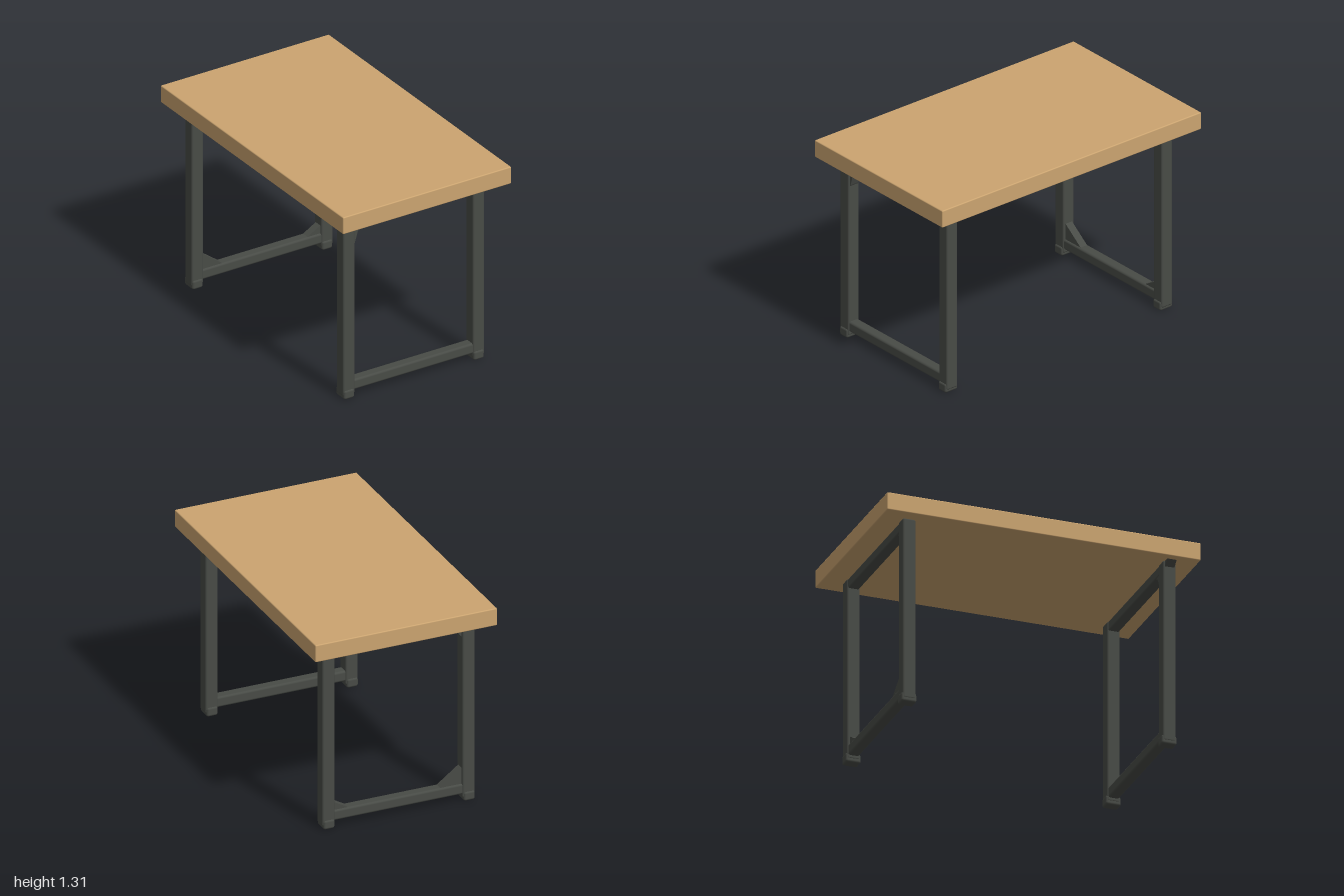
import * as THREE from 'three';
import { RoundedBoxGeometry } from 'three/addons/geometries/RoundedBoxGeometry.js';

const wood = new THREE.MeshStandardMaterial({ color: 0xcba470 });
wood.name = 'lightWood';
const metal = new THREE.MeshStandardMaterial({ color: 0x484b46 });
metal.name = 'darkMetal';

// Softly rounded box given by its lower and upper corners
function slab(name, material, lo, hi, radius) {
  const size = hi.map((v, i) => v - lo[i]);
  const mesh = new THREE.Mesh(new RoundedBoxGeometry(...size, 2, radius), material);
  mesh.position.set(...hi.map((v, i) => (v + lo[i]) / 2));
  mesh.name = name;
  return mesh;
}

// Brace filling a corner of a frame, from its outline in x and y
function brace(name, points, z, depth) {
  const shape = new THREE.Shape(points.map(([x, y]) => new THREE.Vector2(x, y)));
  const geometry = new THREE.ExtrudeGeometry(shape, { depth, bevelEnabled: false });
  geometry.translate(0, 0, z - depth / 2);
  const mesh = new THREE.Mesh(geometry, metal);
  mesh.name = name;
  return mesh;
}

// Rectangular leg frame: two posts with feet, joined by two rails
function legFrame(name, z) {
  const frame = new THREE.Group();
  frame.name = name;
  const h = 0.041;
  for (const [side, x0, x1] of [['right', -0.512, -0.43], ['left', 0.407, 0.488]]) {
    frame.add(slab(side + 'Post', metal, [x0, 0.02, z - h], [x1, 1.2, z + h], 0.012));
    frame.add(slab(side + 'Foot', metal, [x0 + 0.002, 0, z - 0.048], [x1 - 0.006, 0.06, z + 0.048], 0.014));
  }
  frame.add(slab('bottomRail', metal, [-0.45, 0.043, z - 0.035], [0.42, 0.112, z + 0.035], 0.014));
  frame.add(slab('topRail', metal, [-0.45, 1.138, z - 0.035], [0.42, 1.2, z + 0.035], 0.01));
  return frame;
}

export function createModel() {
  const table = new THREE.Group();
  table.name = 'table';

  // Thick plank top
  table.add(slab('tableTop', wood, [-0.596, 1.195, -1], [0.596, 1.309, 1], 0.007));

  // Front frame with an upper corner brace and a small flare under the top
  const front = legFrame('frontFrame', 0.833);
  front.add(brace('upperBrace', [[-0.44, 1.0], [-0.425, 1.03], [-0.405, 1.1], [-0.385, 1.128], [-0.35, 1.142], [-0.44, 1.15]], 0.833, 0.06));
  front.add(brace('topFlare', [[-0.5, 1.15], [-0.5, 1.2], [-0.555, 1.2], [-0.512, 1.16]], 0.833, 0.06));

  // Back frame with lower corner braces
  const back = legFrame('backFrame', -0.826);
  back.add(brace('lowerRightBrace', [[-0.44, 0.1], [-0.285, 0.108], [-0.43, 0.215]], -0.826, 0.05));
  back.add(brace('lowerLeftBrace', [[0.31, 0.108], [0.42, 0.1], [0.41, 0.165]], -0.826, 0.05));
  back.add(brace('upperBrace', [[-0.44, 1.07], [-0.39, 1.14], [-0.44, 1.15]], -0.826, 0.05));

  table.add(front, back);
  return table;
}
